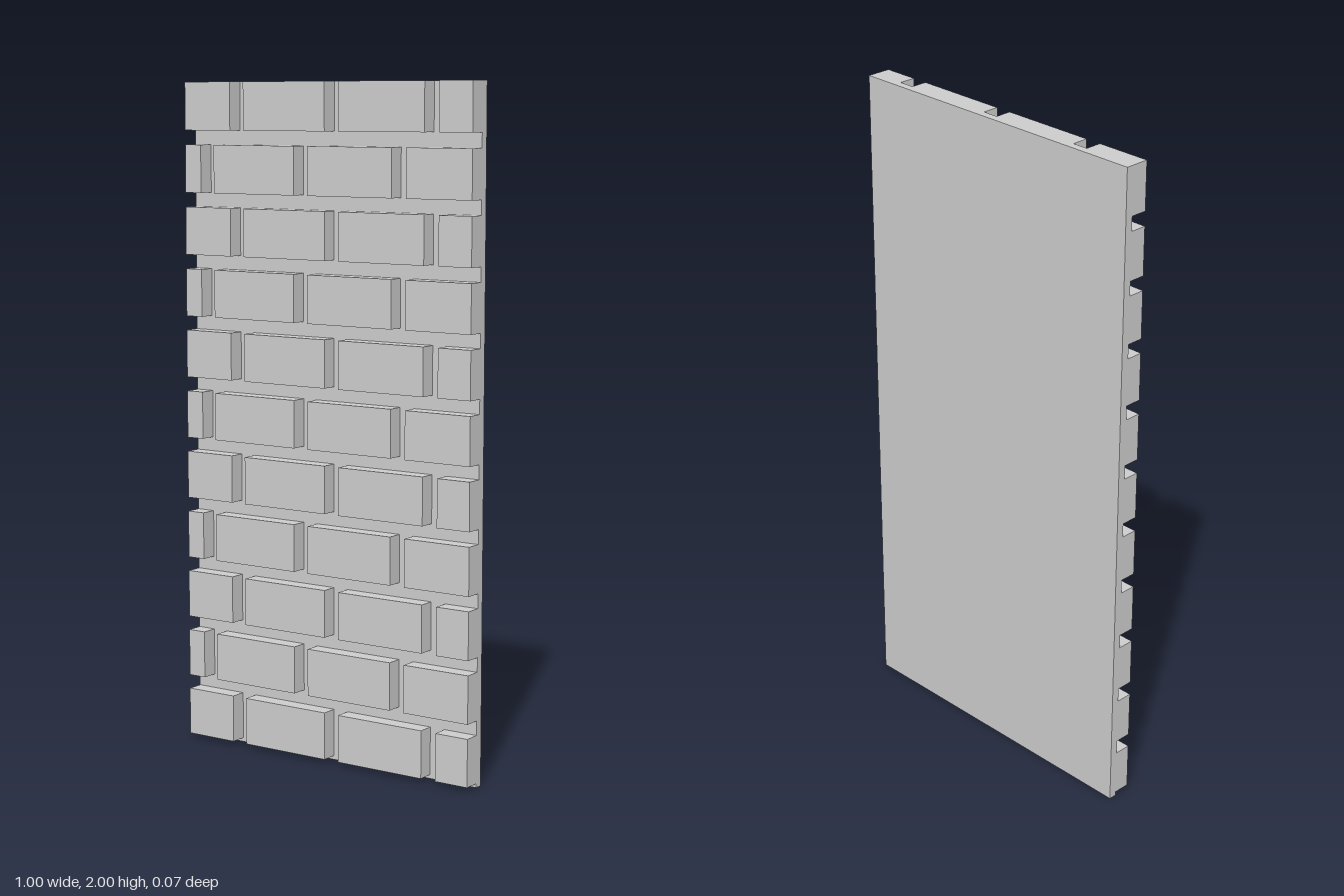
import * as THREE from 'three';

export function createModel() {
  const model = new THREE.Group();
  model.name = 'brickWallPanel';
  const material = new THREE.MeshStandardMaterial({ color: 0xcccccc, flatShading: true });

  const half = 0.5, height = 2;
  const back = -0.037, mortarFace = -0.013, brickFace = 0.037;

  function addBox(name, x0, x1, y0, y1, z0, z1, parent) {
    const mesh = new THREE.Mesh(new THREE.BoxGeometry(x1 - x0, y1 - y0, z1 - z0), material);
    mesh.position.set((x0 + x1) / 2, (y0 + y1) / 2, (z0 + z1) / 2);
    mesh.name = name;
    parent.add(mesh);
  }

  // Thin mortar slab behind the bricks
  addBox('mortarSlab', -half, half, 0, height, back, mortarFace, model);

  // Courses of bricks in running bond, trimmed at the panel's sides
  const rows = 11, firstY = 0.012, rowPitch = 0.1846, brickHeight = 0.142;
  const brickPitch = 0.3385, brickWidth = 0.29;
  for (let row = 0; row < rows; row++) {
    const course = new THREE.Group();
    course.name = `brickCourse${row + 1}`;
    model.add(course);
    const y0 = firstY + row * rowPitch;
    const startX = row % 2 === 0 ? -0.623 : -0.732;
    for (let i = 0; i < 4; i++) {
      const x = startX + i * brickPitch;
      const x0 = Math.max(x, -half), x1 = Math.min(x + brickWidth, half);
      addBox(`brick${i + 1}`, x0, x1, y0, y0 + brickHeight, mortarFace, brickFace, course);
    }
  }
  return model;
}
